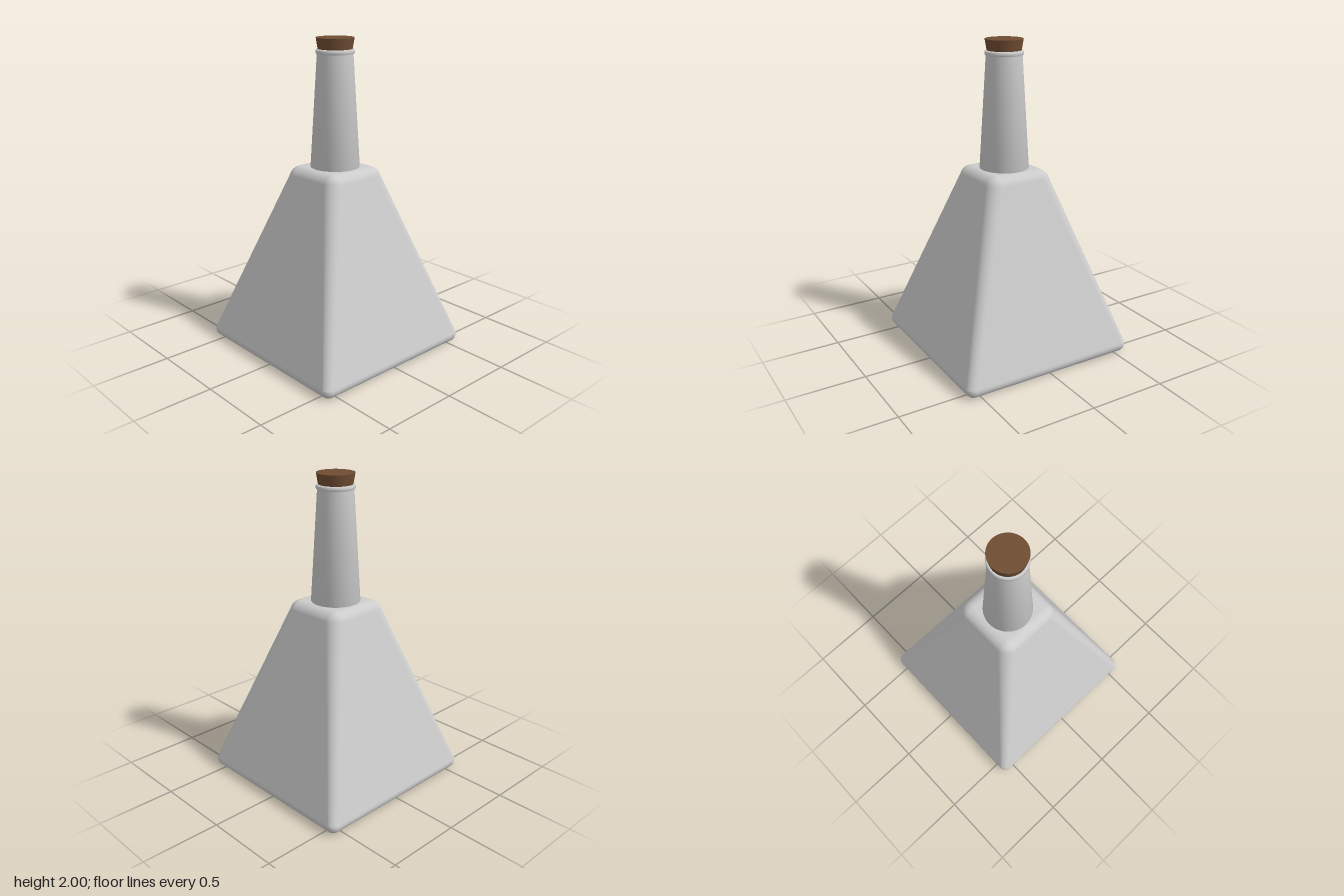
import * as THREE from 'three';

const glass = new THREE.MeshStandardMaterial({ color: 0xcccccc });
glass.name = 'pale grey glass';
const corkBrown = new THREE.MeshStandardMaterial({ color: 0x704d33 });
corkBrown.name = 'cork brown';

// Stacks rounded squares: c is the corner centre, r the corner radius, y the height
function roundedSquareLoft(sections, steps = 8) {
  const pos = [], index = [];
  const n = 4 * (steps + 1);
  for (const { c, r, y } of sections) {
    for (let q = 0; q < 4; q++) {
      const mid = (q + 0.5) * Math.PI / 2;
      for (let s = 0; s <= steps; s++) {
        const a = (q + s / steps) * Math.PI / 2;
        pos.push(Math.sign(Math.cos(mid)) * c + r * Math.cos(a), y,
          Math.sign(Math.sin(mid)) * c + r * Math.sin(a));
      }
    }
  }
  for (let i = 0; i < sections.length - 1; i++) {
    for (let j = 0; j < n; j++) {
      const a = i * n + j, b = i * n + (j + 1) % n;
      index.push(a, a + n, b, b, a + n, b + n);
    }
  }
  const geo = new THREE.BufferGeometry();
  geo.setAttribute('position', new THREE.Float32BufferAttribute(pos, 3));
  geo.setIndex(index);
  geo.computeVertexNormals();
  return geo;
}

// Rounded edge swept from one elevation angle to another
function edgeArc(c, radius, y, from, to, steps = 8) {
  return Array.from({ length: steps + 1 }, (_, i) => {
    const a = from + (to - from) * i / steps;
    return { c, r: Math.max(radius * Math.cos(a), 0.0005), y: y + radius * Math.sin(a) };
  });
}

function lathe(points, segments) {
  return new THREE.LatheGeometry(points.map(([x, y]) => new THREE.Vector2(x, y)), segments);
}

function add(group, name, geometry, material) {
  const mesh = new THREE.Mesh(geometry, material);
  mesh.name = name;
  group.add(mesh);
}

export function createModel() {
  const group = new THREE.Group();
  group.name = 'bottle';

  // Pyramid body with soft edges
  const slope = Math.atan2(0.36, 1.08);
  add(group, 'body', roundedSquareLoft([
    { c: 0, r: 0, y: 0 },
    ...edgeArc(0.537, 0.05, 0.05, -Math.PI / 2, slope),
    ...edgeArc(0.148, 0.08, 1.12, slope, Math.PI / 2),
    { c: 0, r: 0, y: 1.2 },
  ]), glass);

  // Tapered neck with a small lip, smooth across its base
  add(group, 'neck', lathe([
    [0, 1.198], [0.156, 1.198], [0.112, 1.9], [0.12, 1.907],
    [0.12, 1.922], [0.113, 1.932], [0, 1.932],
  ], 48), glass);

  // Tapered stopper
  const cork = new THREE.CylinderGeometry(0.118, 0.103, 0.09, 48);
  cork.translate(0, 1.955, 0);
  add(group, 'cork', cork, corkBrown);

  return group;
}
